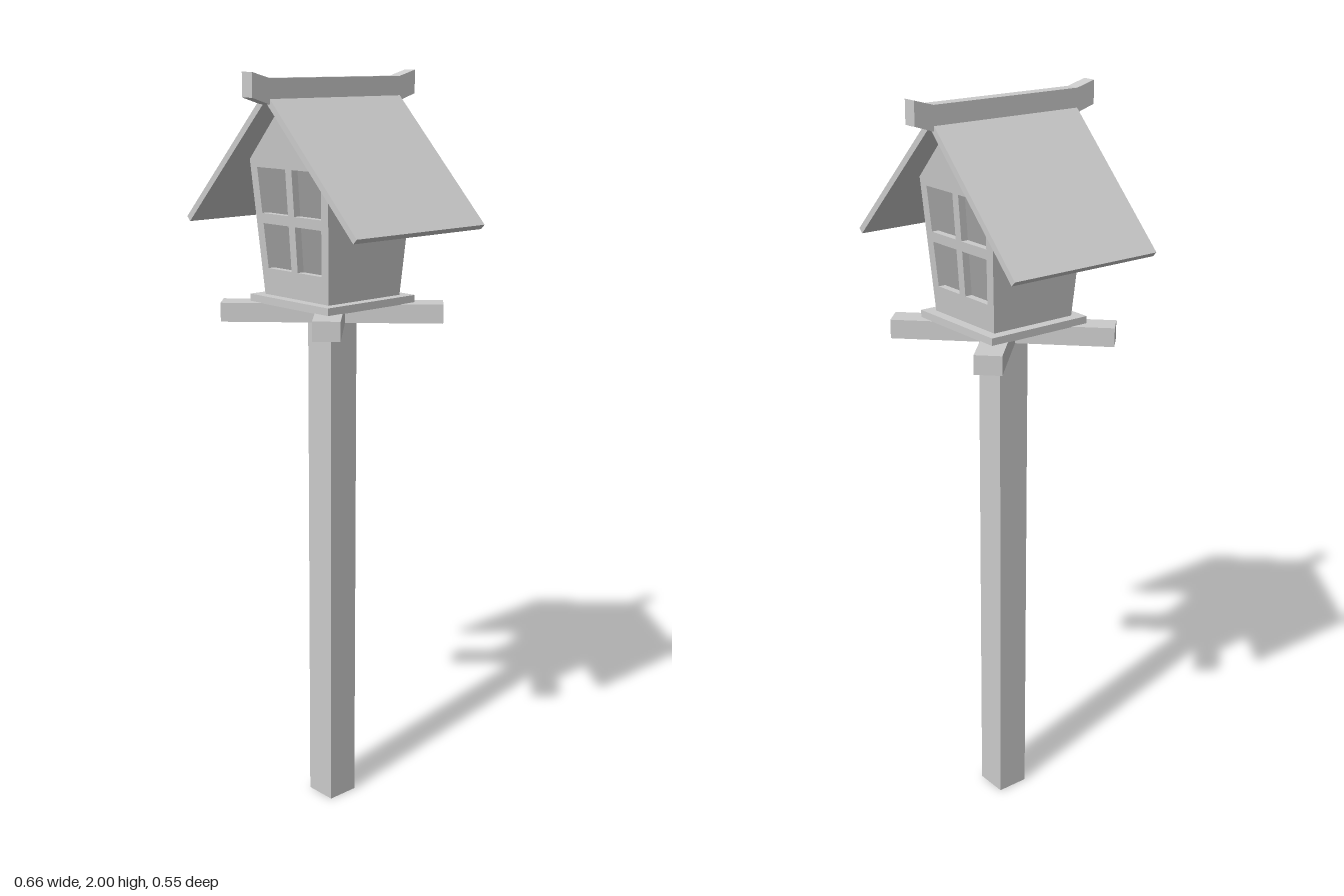
import * as THREE from 'three';

const FLOOR = 1.435, EAVE = 1.79, PEAK = 1.935;
const LEAN = 0.073, HALF = 0.124, WALL = 0.02;
const half = (y) => HALF + (y - FLOOR) * LEAN; // half width of the flared house at height y

const material = new THREE.MeshStandardMaterial({ color: 0xcccccc, flatShading: true });

function add(group, name, geometry) {
  const mesh = new THREE.Mesh(geometry, material);
  mesh.name = name;
  group.add(mesh);
  return mesh;
}

const outline = (pts) => pts.map(([x, y]) => new THREE.Vector2(x, y));

// Extrude along z, centred
function prism(pts, depth) {
  const g = new THREE.ExtrudeGeometry(new THREE.Shape(outline(pts)), { depth, bevelEnabled: false });
  return g.translate(0, 0, -depth / 2);
}

// Wall panel that leans outward as it rises
function leaningWall(shape) {
  const g = new THREE.ExtrudeGeometry(shape, { depth: WALL, bevelEnabled: false });
  const p = g.attributes.position;
  for (let i = 0; i < p.count; i++) p.setZ(i, p.getZ(i) + half(p.getY(i)) - WALL);
  g.computeVertexNormals();
  return g;
}

export function createModel() {
  const model = new THREE.Group();
  model.name = 'birdhouse';

  // Post
  add(model, 'post', new THREE.BoxGeometry(0.09, 1.37, 0.09).translate(0, 0.685, 0));

  // Crossed diagonal support beams
  for (const s of [1, -1]) {
    const beam = add(model, 'supportBeam', new THREE.BoxGeometry(0.58, 0.05, 0.07));
    beam.position.y = 1.391;
    beam.rotation.y = s * Math.PI / 4;
  }

  // Floor plate
  add(model, 'floorPlate', new THREE.BoxGeometry(0.304, 0.02, 0.304).translate(0, 1.425, 0));

  // Gable wall with a four-pane window
  const gable = new THREE.Shape(outline([
    [-HALF, FLOOR], [HALF, FLOOR], [half(EAVE), EAVE], [0, PEAK], [-half(EAVE), EAVE],
  ]));
  const paneEdge = (y) => half(y) - 0.026;
  for (const [y0, y1] of [[1.505, 1.621], [1.647, 1.763]]) {
    for (const s of [1, -1]) {
      gable.holes.push(new THREE.Path(outline([
        [s * 0.012, y0], [s * paneEdge(y0), y0], [s * paneEdge(y1), y1], [s * 0.012, y1],
      ])));
    }
  }
  const gableGeometry = leaningWall(gable);

  // Solid side wall, fitted between the gables
  const sideGeometry = leaningWall(new THREE.Shape(outline([
    [-HALF + WALL, FLOOR], [HALF - WALL, FLOOR],
    [half(EAVE) - WALL, EAVE], [-half(EAVE) + WALL, EAVE],
  ])));

  for (let i = 0; i < 4; i++) {
    const isSide = i % 2 === 1;
    const wall = add(model, isSide ? 'sideWall' : 'gableWall', isSide ? sideGeometry : gableGeometry);
    wall.rotation.y = i * Math.PI / 2;
  }

  // Two-slope roof
  add(model, 'roof', prism([
    [0, 1.955], [-0.328, 1.627], [-0.316, 1.615], [0, 1.931], [0.316, 1.615], [0.328, 1.627],
  ], 0.44));

  // Ridge beam with upturned ends
  const ridge = prism([
    [-0.275, 1.94], [-0.22, 1.923], [0.22, 1.923], [0.275, 1.94],
    [0.275, 2], [0.22, 1.985], [-0.22, 1.985], [-0.275, 2],
  ], 0.038);
  add(model, 'ridgeBeam', ridge.rotateY(Math.PI / 2));

  return model;
}
